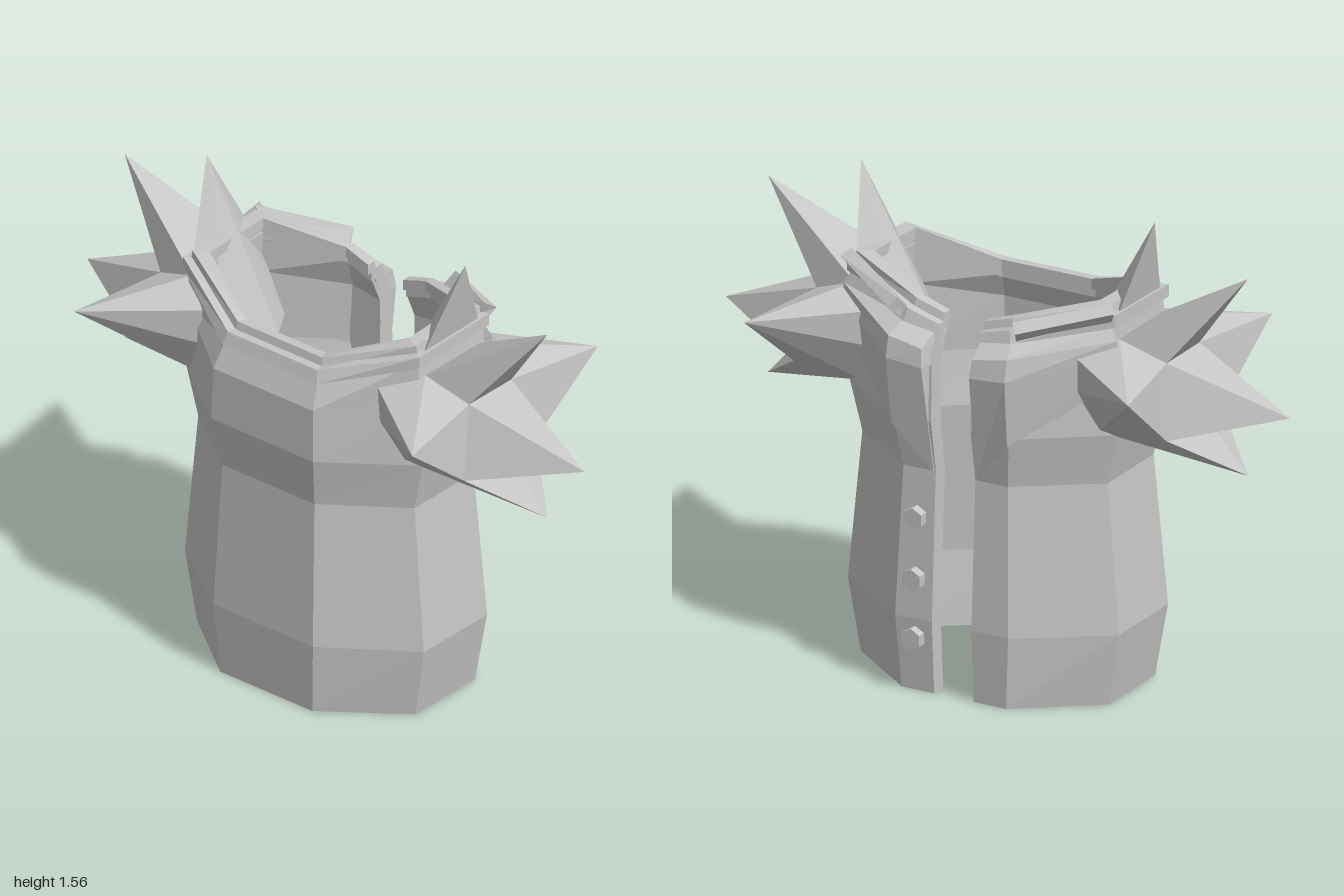
import * as THREE from 'three';

const metal = new THREE.MeshStandardMaterial({ color: 0xc6c6c6, flatShading: true });
metal.name = 'plain grey';

// Flat-shaded mesh from a list of triangle corners
function triMesh(name, tris) {
  const g = new THREE.BufferGeometry();
  g.setAttribute('position', new THREE.Float32BufferAttribute(tris.flat(2), 3));
  g.computeVertexNormals();
  const m = new THREE.Mesh(g, metal);
  m.name = name;
  return m;
}

// Thick strip through stations; each has matching outer and inner points, bottom to top
function sweep(name, stations) {
  const tris = [];
  const loops = stations.map(s => [...s.outer, ...[...s.inner].reverse()]);
  const n = loops[0].length;
  for (let i = 0; i + 1 < loops.length; i++) {
    for (let j = 0; j < n; j++) {
      const a = loops[i][j], b = loops[i][(j + 1) % n];
      const c = loops[i + 1][j], d = loops[i + 1][(j + 1) % n];
      tris.push([a, b, c], [b, d, c]);
    }
  }
  const first = stations[0], last = stations[stations.length - 1];
  for (let k = 0; k + 1 < first.outer.length; k++) {
    tris.push([first.outer[k], first.inner[k], first.outer[k + 1]],
      [first.outer[k + 1], first.inner[k], first.inner[k + 1]]);
    tris.push([last.outer[k], last.outer[k + 1], last.inner[k]],
      [last.outer[k + 1], last.inner[k + 1], last.inner[k]]);
  }
  return triMesh(name, tris);
}

// Octagonal ring, open at the back. Row: [y, corner x, side x, front z, side z, lift]
const LIFT = [0.25, 0.5, 1, 0.92, 0.12, 0.12, 0.92, 1, 0.5, 0.25];
function ring([y, x0, x1, z0, z1, lift = 0]) {
  const half = [[0.07, -z0], [x0, -z0], [x1, -z1], [x1, z1], [x0, z0]];
  const all = [...half, ...half.map(([x, z]) => [-x, z]).reverse()];
  return all.map(([x, z], i) => [x, y + lift * LIFT[i], z]);
}

function ringBand(name, outerRows, innerRows) {
  const o = outerRows.map(ring), n = innerRows.map(ring);
  return sweep(name, LIFT.map((_, i) => ({ outer: o.map(r => r[i]), inner: n.map(r => r[i]) })));
}

// Pyramid spike, faces turned outward from the middle of its base
function spike(tip, base) {
  const mid = base.reduce((s, p) => s.add(new THREE.Vector3(...p)), new THREE.Vector3())
    .divideScalar(base.length);
  const centre = mid.clone().lerp(new THREE.Vector3(...tip), 0.2);
  return base.map((a, i) => {
    const b = base[(i + 1) % base.length];
    const [A, B, T] = [a, b, tip].map(p => new THREE.Vector3(...p));
    const normal = B.clone().sub(A).cross(T.clone().sub(A));
    return normal.dot(A.sub(centre)) > 0 ? [a, b, tip] : [b, a, tip];
  });
}

// Shoulder star: neighbouring spikes share their base corners
function shoulder(side) {
  const v = (x, y, z) => [side * x, y, z];
  const pair = (x, y, z) => [v(x, y, z), v(x, y, -z)];
  const [C, c] = pair(0.47, 1.21, 0.13);   // above, towards the neck
  const [B, b] = pair(0.62, 1.15, 0.10);   // above, outer
  const [E, e] = pair(0.66, 0.925, 0.17);  // below, outer
  const [D, d] = pair(0.42, 0.91, 0.17);   // below, inner
  const [H, h] = pair(0.35, 1.17, 0.22);   // against the chest, upper
  const [K, k] = pair(0.36, 1.05, 0.22);   // against the chest, lower
  const [F, f] = pair(0.30, 1.03, 0.11);   // inside the vest
  const [N, n] = pair(0.45, 1.22, 0.16);
  const M = v(0.70, 0.96, 0), G = v(0.23, 1.04, 0);
  return triMesh('shoulderSpikes', [
    ...spike(v(1, 1.01, 0), [B, b, e, M, E]),
    ...spike(v(0.85, 1.44, 0), [C, c, b, B]),
    ...spike(v(0.85, 0.79, 0), [E, M, e, d, D]),
    ...spike(v(0.68, 1.14, 0.44), [C, B, E, D, K, H]),
    ...spike(v(0.68, 1.14, -0.44), [c, b, e, d, k, h]),
    ...spike(v(0.52, 1.56, 0), [N, n, f, G, F]),
    ...spike(G, [F, f, d, D]),
    ...spike(F, [N, D, G]),
    ...spike(f, [n, d, G]),
  ]);
}

// Strip on one rear side, listed for +x from the opening outwards
function rearStrip(name, side, stations) {
  const m = list => list.map(([x, y, z]) => [side * x, y, z]);
  const st = stations.map(([outer, inner]) => ({ outer: m(outer), inner: m(inner) }));
  return sweep(name, side > 0 ? st : st.reverse());
}

// Pointed flap beside the rear opening, folding in at the top
const LAPEL = [
  [[[0.075, 0.73, -0.325], [0.085, 1.09, -0.385], [0.09, 1.15, -0.375], [0.08, 1.19, -0.30]],
    [[0.07, 0.73, -0.29], [0.07, 1.09, -0.29], [0.07, 1.14, -0.28], [0.065, 1.18, -0.26]]],
  [[[0.205, 0.88, -0.36], [0.21, 1.10, -0.385], [0.21, 1.17, -0.37], [0.19, 1.21, -0.30]],
    [[0.19, 0.88, -0.29], [0.19, 1.10, -0.29], [0.18, 1.16, -0.28], [0.17, 1.20, -0.26]]],
  [[[0.485, 1.08, -0.15], [0.49, 1.16, -0.16], [0.485, 1.22, -0.17], [0.46, 1.26, -0.16]],
    [[0.42, 1.08, -0.13], [0.42, 1.16, -0.13], [0.42, 1.21, -0.13], [0.41, 1.25, -0.13]]],
];

// Flared collar piece on the rear diagonals
const FLARE = [
  [[[0.20, 1.20, -0.295], [0.225, 1.25, -0.345]], [[0.18, 1.22, -0.265], [0.205, 1.28, -0.325]]],
  [[[0.46, 1.27, -0.165], [0.485, 1.315, -0.19]], [[0.42, 1.28, -0.14], [0.46, 1.335, -0.16]]],
];

export function createModel() {
  const model = new THREE.Group();
  model.name = 'spikedVest';

  // Main shell
  const rows = [
    [0, 0.185, 0.44, 0.33, 0.14],
    [0.24, 0.20, 0.48, 0.345, 0.15],
    [0.73, 0.185, 0.435, 0.32, 0.14],
    [0.90, 0.205, 0.475, 0.35, 0.15],
    [1.07, 0.20, 0.47, 0.345, 0.15, 0.06],
    [1.15, 0.185, 0.46, 0.305, 0.155, 0.12],
  ];
  const inner = rows.map(([y, x0, x1, z0, z1, l]) => [y, x0 - 0.02, x1 - 0.055, z0 - 0.055, z1 - 0.02, l]);
  model.add(ringBand('vestBody', rows, inner));

  // Layered collar
  model.add(ringBand('collarBase',
    [[1.14, 0.19, 0.475, 0.315, 0.165, 0.12], [1.18, 0.18, 0.475, 0.30, 0.165, 0.12]],
    [[1.14, 0.165, 0.41, 0.25, 0.13, 0.12], [1.18, 0.165, 0.41, 0.25, 0.13, 0.12]]));
  model.add(ringBand('collarRim',
    [[1.17, 0.175, 0.455, 0.275, 0.15, 0.12], [1.205, 0.17, 0.45, 0.265, 0.15, 0.12]],
    [[1.17, 0.16, 0.40, 0.235, 0.125, 0.12], [1.205, 0.16, 0.40, 0.235, 0.125, 0.12]]));

  for (const side of [1, -1]) {
    model.add(shoulder(side), rearStrip('rearLapel', side, LAPEL), rearStrip('collarFlare', side, FLARE));
  }

  // Buttons down one side of the opening
  for (const [y, z] of [[0.575, -0.346], [0.375, -0.354], [0.18, -0.356]]) {
    const button = new THREE.Mesh(new THREE.CylinderGeometry(0.036, 0.036, 0.032, 6), metal);
    button.name = 'button';
    button.rotation.x = Math.PI / 2;
    button.position.set(0.13, y, z);
    model.add(button);
  }
  return model;
}
